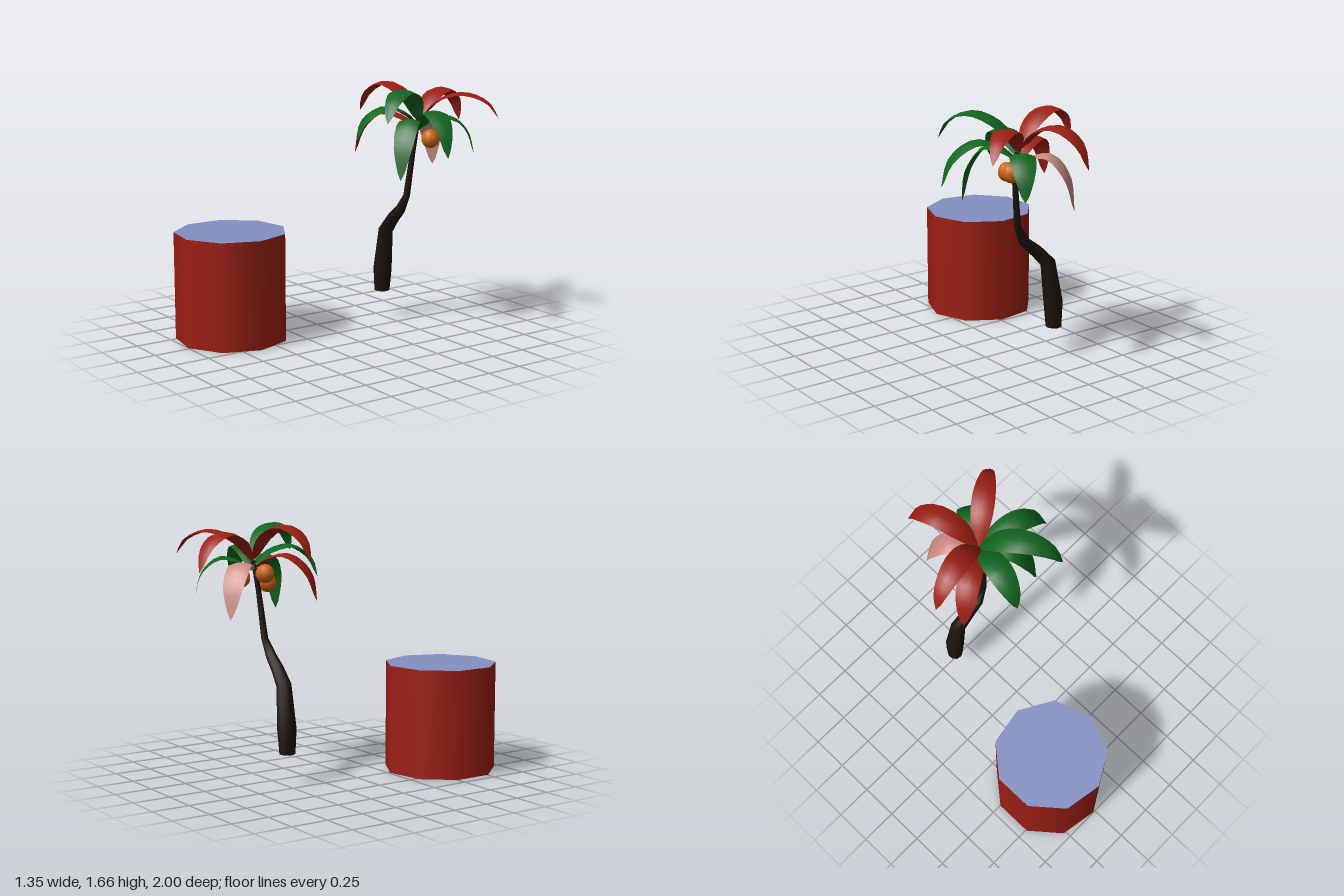
import * as THREE from 'three';

const paint = (color, side = THREE.FrontSide) => {
  const m = new THREE.MeshStandardMaterial({ side });
  m.color.set(color);
  return m;
};
const V = (x, y, z) => new THREE.Vector3(x, y, z);

function meshFrom(name, pos, idx, material) {
  const g = new THREE.BufferGeometry();
  g.setAttribute('position', new THREE.Float32BufferAttribute(pos, 3));
  g.setIndex(idx);
  g.computeVertexNormals();
  const m = new THREE.Mesh(g, material);
  m.name = name;
  return m;
}

// Bent trunk: rings set square to the centre line. Rows are x, y, z, radius.
function makeTrunk(material) {
  const rows = [
    [-0.14, 0.2, -0.472, 0.053], [-0.135, 0.36, -0.472, 0.064], [-0.092, 0.64, -0.465, 0.05],
    [0.0, 0.735, -0.455, 0.042], [0.09, 0.81, -0.447, 0.035], [0.148, 0.917, -0.457, 0.023],
    [0.185, 1.22, -0.477, 0.018], [0.195, 1.42, -0.51, 0.014],
  ];
  const sides = 9, pos = [], idx = [];
  rows.forEach(([x, y, z, r], i) => {
    const a = rows[Math.max(i - 1, 0)], b = rows[Math.min(i + 1, rows.length - 1)];
    const len = Math.hypot(b[0] - a[0], b[1] - a[1]);
    const ux = i ? (b[1] - a[1]) / len : 1, uy = i ? -(b[0] - a[0]) / len : 0;
    for (let j = 0; j < sides; j++) {
      const t = (j / sides) * Math.PI * 2, c = Math.cos(t) * r;
      pos.push(x + ux * c, y + uy * c, z + Math.sin(t) * r);
      if (i) {
        const q = (i - 1) * sides, k = (j + 1) % sides;
        idx.push(q + j, q + sides + j, q + k, q + sides + j, q + sides + k, q + k);
      }
    }
  });
  // flat foot with its own corners, so its edge stays sharp
  const foot = pos.length / 3;
  pos.push(...pos.slice(0, sides * 3), ...rows[0].slice(0, 3));
  for (let j = 0; j < sides; j++) idx.push(foot + sides, foot + j, foot + ((j + 1) % sides));
  return meshFrom('trunk', pos, idx, material);
}

// Arched leaf from the crown over a peak height to its tip
function makeFrond(name, tip, baseY, peak, halfWidth, material) {
  const base = V(0.19, baseY, -0.52);
  const at = (t, y) => V(base.x + (tip.x - base.x) * t, y, base.z + (tip.z - base.z) * t);
  const spine = new THREE.CatmullRomCurve3([
    base, at(0.24, baseY + (peak - baseY) * 0.73), at(0.57, peak),
    at(0.87, peak - (peak - tip.y) * 0.36), tip,
  ]);
  const side = V(-(tip.z - base.z), 0, tip.x - base.x).normalize();
  const steps = 12, across = 4, pos = [], idx = [];
  for (let i = 0; i <= steps; i++) {
    const t = i / steps, p = spine.getPointAt(t);
    const w = halfWidth * (0.12 + 0.88 * Math.sin(Math.PI * Math.pow(t, 0.85))) * (t > 0.99 ? 0.1 : 1);
    for (let j = 0; j <= across; j++) {
      const s = (j / across) * 2 - 1;
      pos.push(p.x + side.x * w * s, p.y - s * s * w * 0.25, p.z + side.z * w * s);
      if (i < steps && j < across) {
        const a = i * (across + 1) + j, b = a + across + 1;
        idx.push(a, a + 1, b, a + 1, b + 1, b);
      }
    }
  }
  return meshFrom(name, pos, idx, material);
}

export function createModel() {
  const model = new THREE.Group();
  model.name = 'palmAndDrum';

  // Nine-sided drum with pale blue ends
  const red = paint(0x9c1f14), blue = paint(0x8490c4);
  const drum = new THREE.Mesh(
    new THREE.CylinderGeometry(0.374, 0.374, 0.72, 9, 1, false, Math.PI / 2), [red, blue, blue]);
  drum.name = 'drum';
  drum.position.set(-0.33, 0.36, 0.63);
  model.add(drum);

  const palm = new THREE.Group();
  palm.name = 'palmTree';
  palm.add(makeTrunk(paint(0x1c130d)));

  // Fruit hanging under the crown
  const orange = paint(0xcc650f);
  const ball = new THREE.SphereGeometry(0.063, 9, 7);
  [[0.19, 1.272, -0.405], [0.27, 1.305, -0.556], [0.13, 1.338, -0.46]].forEach((p, i) => {
    const fruit = new THREE.Mesh(ball, orange);
    fruit.name = `fruit${i + 1}`;
    fruit.position.set(...p);
    palm.add(fruit);
  });

  // Fronds: tip x, y, z, base height, peak height, half width, colour
  const leafRed = paint(0x9c1f14, THREE.DoubleSide);
  const leafGreen = paint(0x12651f, THREE.DoubleSide);
  const leafPink = paint(0xcc8a84, THREE.DoubleSide);
  [
    [0.03, 1.375, -1.0, 1.42, 1.62, 0.08, leafRed],
    [0.62, 1.455, -0.84, 1.42, 1.62, 0.075, leafRed],
    [0.47, 1.46, -0.05, 1.42, 1.655, 0.085, leafGreen],
    [-0.31, 1.447, -0.4, 1.42, 1.665, 0.08, leafRed],
    [0.09, 1.305, -0.08, 1.39, 1.525, 0.085, leafGreen],
    [-0.02, 1.075, -0.81, 1.36, 1.42, 0.08, leafPink],
    [0.38, 1.195, -0.84, 1.36, 1.45, 0.08, leafGreen],
    [0.67, 1.24, -0.38, 1.36, 1.515, 0.08, leafGreen],
    [0.4, 1.075, -0.21, 1.36, 1.45, 0.075, leafGreen],
    [-0.2, 1.18, -0.28, 1.36, 1.475, 0.075, leafRed],
  ].forEach(([x, y, z, baseY, peak, w, mat], i) =>
    palm.add(makeFrond(`frond${i + 1}`, V(x, y, z), baseY, peak, w, mat)));

  model.add(palm);
  return model;
}
